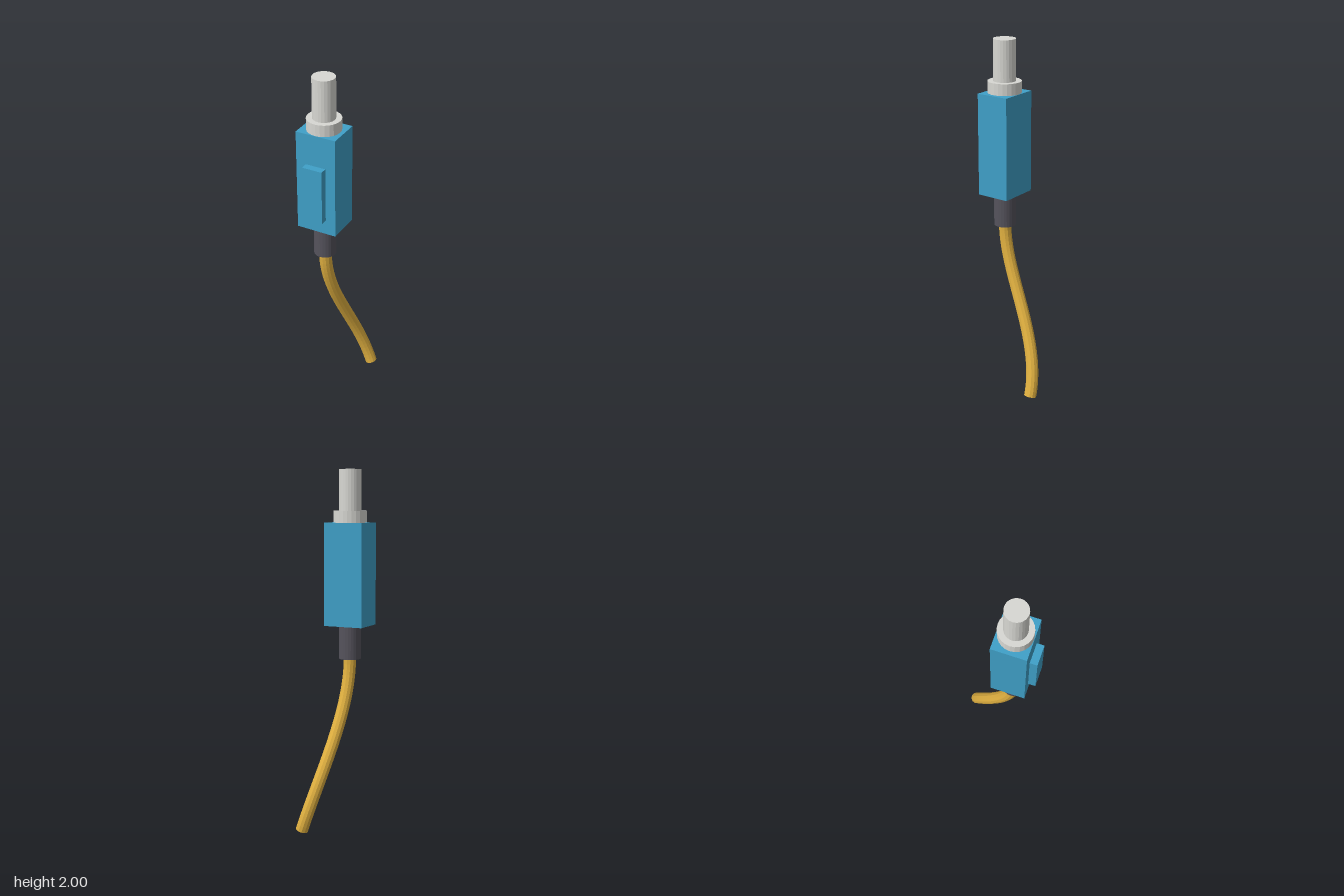
import * as THREE from 'three';

const AXIS_X = -0.039, AXIS_Z = 0.095;

function paint(color, extra = {}) {
  return new THREE.MeshStandardMaterial({ color, ...extra });
}

export function createModel() {
  const group = new THREE.Group();
  const blue = paint(0x3fa0c8);
  const metal = paint(0xd8d8d3, { flatShading: true });
  const rubber = paint(0x55535c, { flatShading: true });
  const yellow = paint(0xe0b040, { flatShading: true, side: THREE.DoubleSide });

  const add = (name, geometry, material) => {
    const mesh = new THREE.Mesh(geometry, material);
    mesh.name = name;
    group.add(mesh);
    return mesh;
  };
  // Upright cylinder on the connector axis
  const barrel = (name, radius, y0, y1, material) =>
    add(name, new THREE.CylinderGeometry(radius, radius, y1 - y0, 24), material)
      .position.set(AXIS_X, (y0 + y1) / 2, AXIS_Z);
  // Box on the connector axis, given its height and depth ranges
  const block = (name, width, y0, y1, z0, z1) =>
    add(name, new THREE.BoxGeometry(width, y1 - y0, z1 - z0), blue)
      .position.set(AXIS_X, (y0 + y1) / 2, (z0 + z1) / 2);

  // Connector housing with its raised latch
  block('housing', 0.228, 1.14, 1.71, 0, 0.19);
  block('latch', 0.114, 1.225, 1.535, 0.19, 0.231);

  // Tip, collar and strain relief
  barrel('ferrule', 0.062, 1.77, 2, metal);
  barrel('collar', 0.093, 1.71, 1.774, metal);
  barrel('strainRelief', 0.062, 0.952, 1.14, rubber);

  // Open-ended cable sweeping down, back and to the left
  const path = new THREE.CubicBezierCurve3(
    new THREE.Vector3(AXIS_X, 0.952, AXIS_Z),
    new THREE.Vector3(AXIS_X, 0.64, AXIS_Z),
    new THREE.Vector3(0.01, 0.33, -0.195),
    new THREE.Vector3(0.117, 0.012, -0.195)
  );
  add('cable', new THREE.TubeGeometry(path, 32, 0.035, 12), yellow);

  return group;
}
